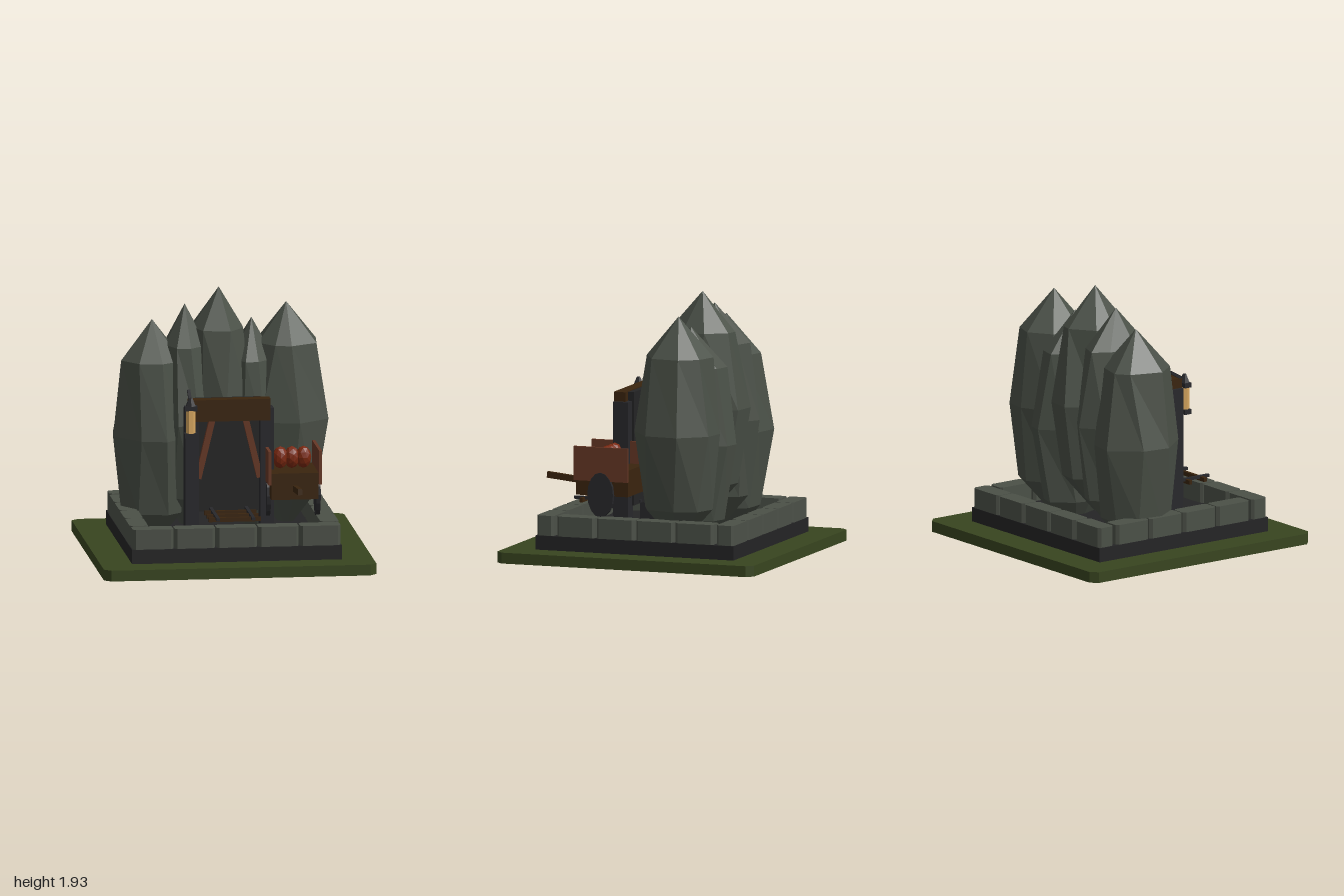
import * as THREE from 'three';

const mat = (name, color) => Object.assign(new THREE.MeshStandardMaterial({ color }), { name });

export function createModel() {
  const model = new THREE.Group();
  model.name = 'mineEntrance';
  const grass = mat('grass', 0x38451f);
  const dark = mat('dark earth', 0x242425);
  const stone = mat('kerb stone', 0x4b5047);
  const rock = mat('rock', 0x494f46);
  const wood = mat('dark wood', 0x3a240e);
  const plank = mat('red wood', 0x663725);
  const iron = mat('iron', 0x28282b);
  const ore = mat('ore', 0x7a2810);
  const amber = mat('lantern glow', 0xd8a860);

  // Adds a faceted mesh
  const add = (name, geo, material, x = 0, y = 0, z = 0, parent = model) => {
    const g = geo.index ? geo.toNonIndexed() : geo;
    g.computeVertexNormals();
    const mesh = new THREE.Mesh(g, material);
    mesh.name = name;
    mesh.position.set(x, y, z);
    parent.add(mesh);
    return mesh;
  };
  // Box given by its limits on each axis
  const box = (name, material, [x0, x1], [y0, y1], [z0, z1]) =>
    add(name, new THREE.BoxGeometry(x1 - x0, y1 - y0, z1 - z0), material,
      (x0 + x1) / 2, (y0 + y1) / 2, (z0 + z1) / 2);
  // Slab with cut corners in plan, standing on y = 0
  const slab = (w, d, h, c) => {
    const a = w / 2, b = d / 2;
    const shape = new THREE.Shape([
      [a - c, -b], [a, c - b], [a, b - c], [a - c, b],
      [c - a, b], [-a, b - c], [-a, c - b], [c - a, -b],
    ].map(([x, y]) => new THREE.Vector2(x, y)));
    return new THREE.ExtrudeGeometry(shape, { depth: h, bevelEnabled: false }).rotateX(-Math.PI / 2);
  };

  // Ground and plinth
  add('grassBase', slab(2, 2, 0.08, 0.05), grass);
  box('plinth', dark, [-0.77, 0.77], [0.08, 0.185], [-0.77, 0.77]);

  // Kerb stones around the plinth
  for (const side of [-1, 1]) {
    for (let i = 0; i < 5; i++) {
      add('kerbStone', slab(0.297, 0.135, 0.15, 0.02), stone, (i - 2) * 0.307, 0.182, side * 0.7);
    }
    for (let i = 0; i < 4; i++) {
      add('kerbStone', slab(0.135, 0.297, 0.15, 0.02), stone, side * 0.7, 0.182, (i - 1.5) * 0.307);
    }
  }

  // Tall pointed rocks: rings of eight corners, nudged irregularly
  const ringY = [0.85, 0.56, 0, -0.56, -0.85];
  const ringR = [0, 0.76, 1, 0.76, 0];
  const makeRock = (x, y, rx, rz, seed) => {
    const geo = new THREE.SphereGeometry(1, 8, 4);
    const p = geo.attributes.position;
    const noise = (n) => { const s = Math.sin(n * 12.99 + seed * 78.2) * 43758.5; return s - Math.floor(s) - 0.5; };
    for (let v = 0; v < p.count; v++) {
      const ring = Math.floor(v / 9), seg = (v % 9) % 8;
      const a = (seg + 0.5 * noise(seg + ring * 8)) * Math.PI / 4 + 0.2;
      const r = ringR[ring] * (1 + 0.12 * noise(50 + seg + ring * 8));
      p.setXYZ(v, -Math.cos(a) * r * rx, ringY[ring], Math.sin(a) * r * rz);
    }
    add('rock', geo, rock, x, y, -0.235);
  };
  makeRock(-0.5, 0.85, 0.3, 0.34, 1);
  makeRock(-0.26, 0.96, 0.21, 0.345, 2);
  makeRock(-0.01, 1.08, 0.25, 0.345, 3);
  makeRock(0.23, 0.85, 0.22, 0.345, 4);
  makeRock(0.485, 0.96, 0.315, 0.335, 5);

  // Mine doorway
  box('doorwayPanel', dark, [-0.24, 0.24], [0.36, 1.195], [0.205, 0.265]);
  for (const side of [-1, 1]) {
    box('doorPost', iron, [side * 0.275 - 0.05, side * 0.275 + 0.05], [0.182, 1.13], [0.22, 0.335]);
    const brace = add('doorBrace', new THREE.BoxGeometry(0.045, 0.47, 0.04), plank, side * 0.172, 0.84, 0.285);
    brace.rotation.z = side * 0.235;
  }
  box('lintel', wood, [-0.3, 0.3], [1.04, 1.2], [0.25, 0.34]);

  // Lantern and its bracket
  const lantern = new THREE.Group();
  lantern.name = 'lantern';
  lantern.position.set(-0.29, 0, 0.37);
  model.add(lantern);
  add('lanternFoot', new THREE.BoxGeometry(0.095, 0.035, 0.06), iron, 0, 0.948, 0, lantern);
  add('lanternGlass', new THREE.CylinderGeometry(0.035, 0.035, 0.17, 6, 1, false, Math.PI / 6), amber, 0, 1.05, 0, lantern);
  add('lanternCap', new THREE.BoxGeometry(0.095, 0.035, 0.06), iron, 0, 1.148, 0, lantern);
  add('lanternRoof', new THREE.CylinderGeometry(0.014, 0.04, 0.06, 6), iron, 0, 1.195, 0, lantern);
  const bracket = add('lanternBracket', new THREE.BoxGeometry(0.022, 0.022, 0.1), iron, 0, 1.23, -0.08, lantern);
  bracket.rotation.x = 0.52;

  // Rails and sleepers
  for (const x of [-0.13, 0.13]) box('rail', iron, [x - 0.012, x + 0.012], [0.37, 0.392], [0.19, 0.71]);
  for (const z of [0.37, 0.503, 0.637]) box('sleeper', wood, [-0.19, 0.19], [0.354, 0.385], [z - 0.013, z + 0.013]);

  // Cart with side boards, wheels and handle
  box('cartBody', wood, [0.285, 0.632], [0.48, 0.675], [0.105, 0.51]);
  for (const x of [0.274, 0.645]) {
    box('cartSideBoard', plank, [x - 0.011, x + 0.011], [0.59, 0.84], [0.1, 0.52]);
  }
  for (const x of [0.28, 0.645]) {
    const wheel = new THREE.CylinderGeometry(1, 1, 0.03, 16).rotateZ(Math.PI / 2).scale(1, 0.165, 0.1);
    add('cartWheel', wheel, iron, x, 0.49, 0.31);
  }
  const handle = add('cartHandle', new THREE.BoxGeometry(0.032, 0.045, 0.32), wood, 0.46, 0.574, 0.635);
  handle.rotation.x = -0.1;

  // Ore lumps
  [0.375, 0.46, 0.545].forEach((x, i) => {
    const lump = new THREE.IcosahedronGeometry(1, 1).rotateY(i * 0.7).scale(0.058, 0.082, 0.056);
    add('oreLump', lump, ore, x, 0.757, 0.305);
  });

  return model;
}
